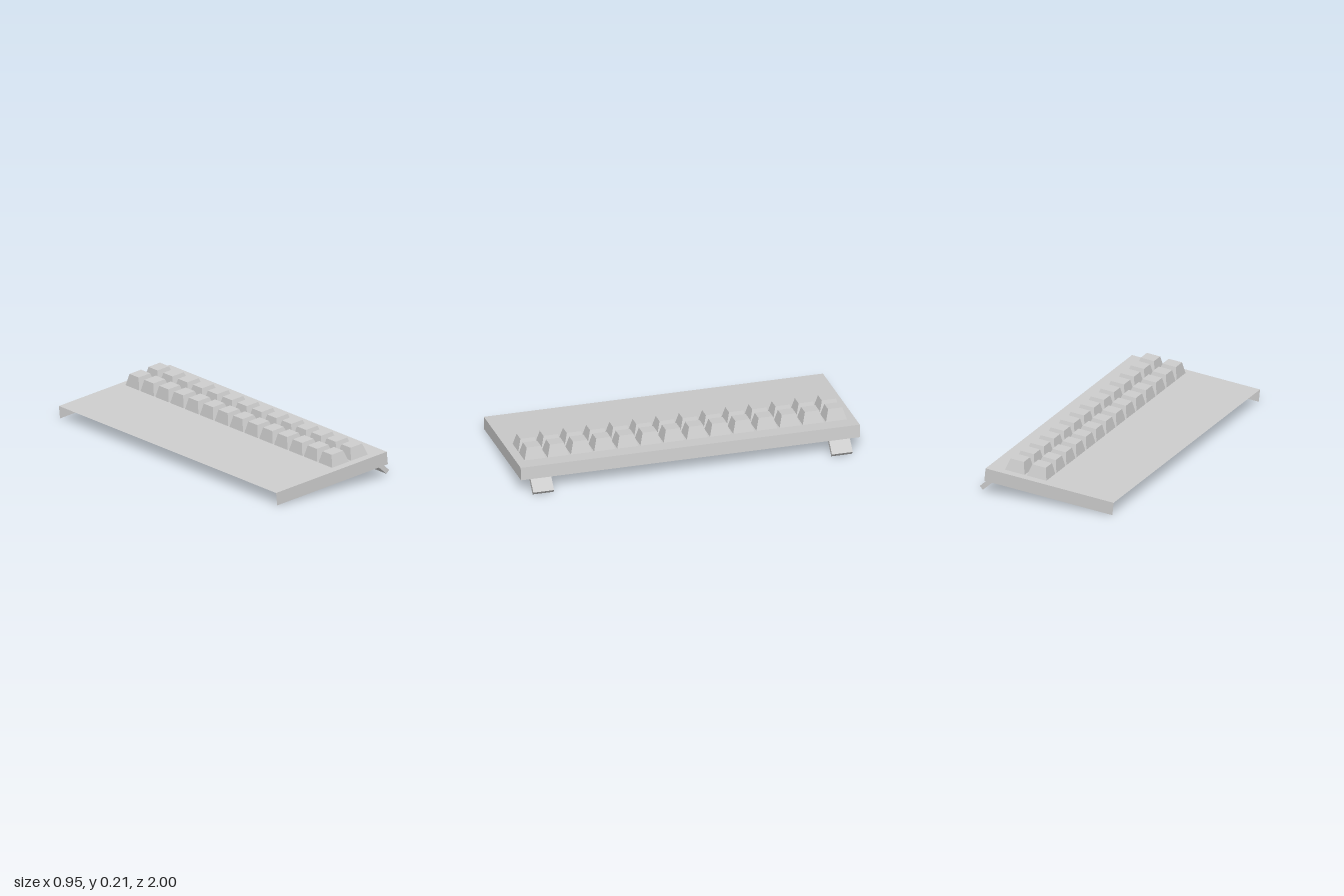
import * as THREE from 'three';

const W = 0.79, L = 1.96, H = 0.075; // case width, length, wall height

export function createModel() {
  const model = new THREE.Group();
  model.name = 'keyboard';
  const solid = new THREE.MeshStandardMaterial({ color: 0xcccccc, flatShading: true });
  const sheet = new THREE.MeshStandardMaterial({ color: 0xcccccc, flatShading: true, side: THREE.DoubleSide });

  // Everything sits in one body, tilted up towards +x and turned slightly
  const body = new THREE.Group();
  body.name = 'body';
  body.rotation.order = 'YXZ';
  body.rotation.set(0, 0.0535, 0.103);
  body.position.set(-0.031, 0.115, 0);
  model.add(body);

  function add(name, geometry, material, x, y, z) {
    const mesh = new THREE.Mesh(geometry, material);
    mesh.name = name;
    mesh.position.set(x, y, z);
    body.add(mesh);
    return mesh;
  }

  // Thin case: top sheet, two ends and one long wall; open below and at -x
  add('topPanel', new THREE.PlaneGeometry(W, L).rotateX(-Math.PI / 2), sheet, 0, 0, 0);
  add('longWall', new THREE.PlaneGeometry(L, H).rotateY(Math.PI / 2), sheet, W / 2, -H / 2, 0);
  add('leftEndWall', new THREE.PlaneGeometry(W, H), sheet, 0, -H / 2, L / 2);
  add('rightEndWall', new THREE.PlaneGeometry(W, H).rotateY(Math.PI), sheet, 0, -H / 2, -L / 2);

  // Two rows of fourteen tapered square keys
  const keyHeight = 0.067;
  const keyGeometry = new THREE.CylinderGeometry(0.082 / Math.SQRT2, 0.121 / Math.SQRT2, keyHeight, 4)
    .rotateY(Math.PI / 4);
  for (const x of [0.103, 0.238]) {
    for (let i = 0; i < 14; i++) {
      add('key', keyGeometry, solid, x, keyHeight / 2 + 0.001, (i - 6.5) * 0.134);
    }
  }

  // Slanted feet under the raised edge, placed by their lower end
  const footLength = 0.15;
  const footGeometry = new THREE.BoxGeometry(footLength, 0.027, 0.12).translate(-footLength / 2, 0, 0);
  for (const side of [-1, 1]) {
    const foot = add('foot', footGeometry, solid, 0.432, -0.148, side * 0.863);
    foot.rotation.z = -0.825;
  }
  return model;
}
